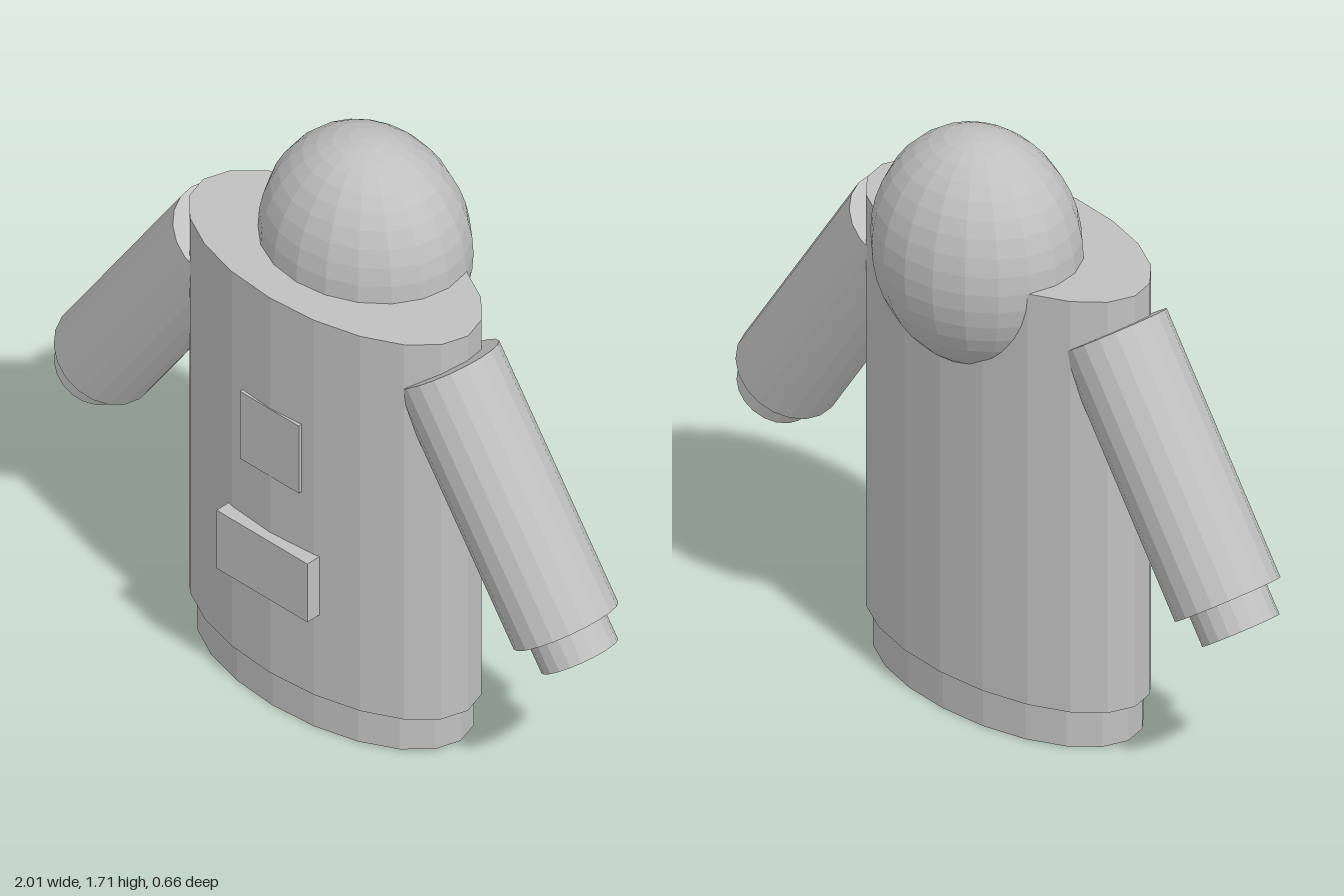
import * as THREE from 'three';

export function createModel() {
  const model = new THREE.Group();
  const grey = new THREE.MeshStandardMaterial({ color: 0xc0c0c0, flatShading: true });
  grey.name = 'grey';

  const add = (name, geometry, parent = model) => {
    const mesh = new THREE.Mesh(geometry, grey);
    mesh.name = name;
    parent.add(mesh);
    return mesh;
  };

  // Upright cylinder with an oval footprint
  const oval = (name, rx, rz, y0, y1) => {
    const geometry = new THREE.CylinderGeometry(1, 1, y1 - y0, 20).scale(rx, 1, rz);
    add(name, geometry).position.set(0, (y0 + y1) / 2, 0.05);
  };

  // Torso and the slightly smaller base beneath it
  oval('torso', 0.495, 0.25, 0.115, 1.37);
  oval('base', 0.468, 0.24, 0, 0.115);

  // Egg-shaped head, sunk halfway into the torso and set towards the back
  const head = add('head', new THREE.SphereGeometry(1, 20, 20).scale(0.31, 0.34, 0.265));
  head.position.set(0, 1.37, -0.065);

  // Chest panel lies almost flush; belly box stands proud
  add('chestPanel', new THREE.BoxGeometry(0.22, 0.225, 0.02)).position.set(0, 0.8875, 0.292);
  add('bellyBox', new THREE.BoxGeometry(0.34, 0.195, 0.06)).position.set(0, 0.4875, 0.3);

  // Arms slant down and outwards, each ending in a narrower hand
  const sleeveLength = 0.78;
  const handLength = 0.09;
  for (const side of [1, -1]) {
    const arm = new THREE.Group();
    arm.name = side > 0 ? 'leftArm' : 'rightArm';
    arm.position.set(side * 0.415, 1.2325, 0.048);
    arm.rotation.z = side * Math.atan2(0.445, 0.64);
    add('sleeve', new THREE.CylinderGeometry(0.153, 0.153, sleeveLength, 20), arm)
      .position.y = -sleeveLength / 2;
    add('hand', new THREE.CylinderGeometry(0.112, 0.112, handLength, 20), arm)
      .position.y = -sleeveLength - handLength / 2;
    model.add(arm);
  }

  return model;
}
